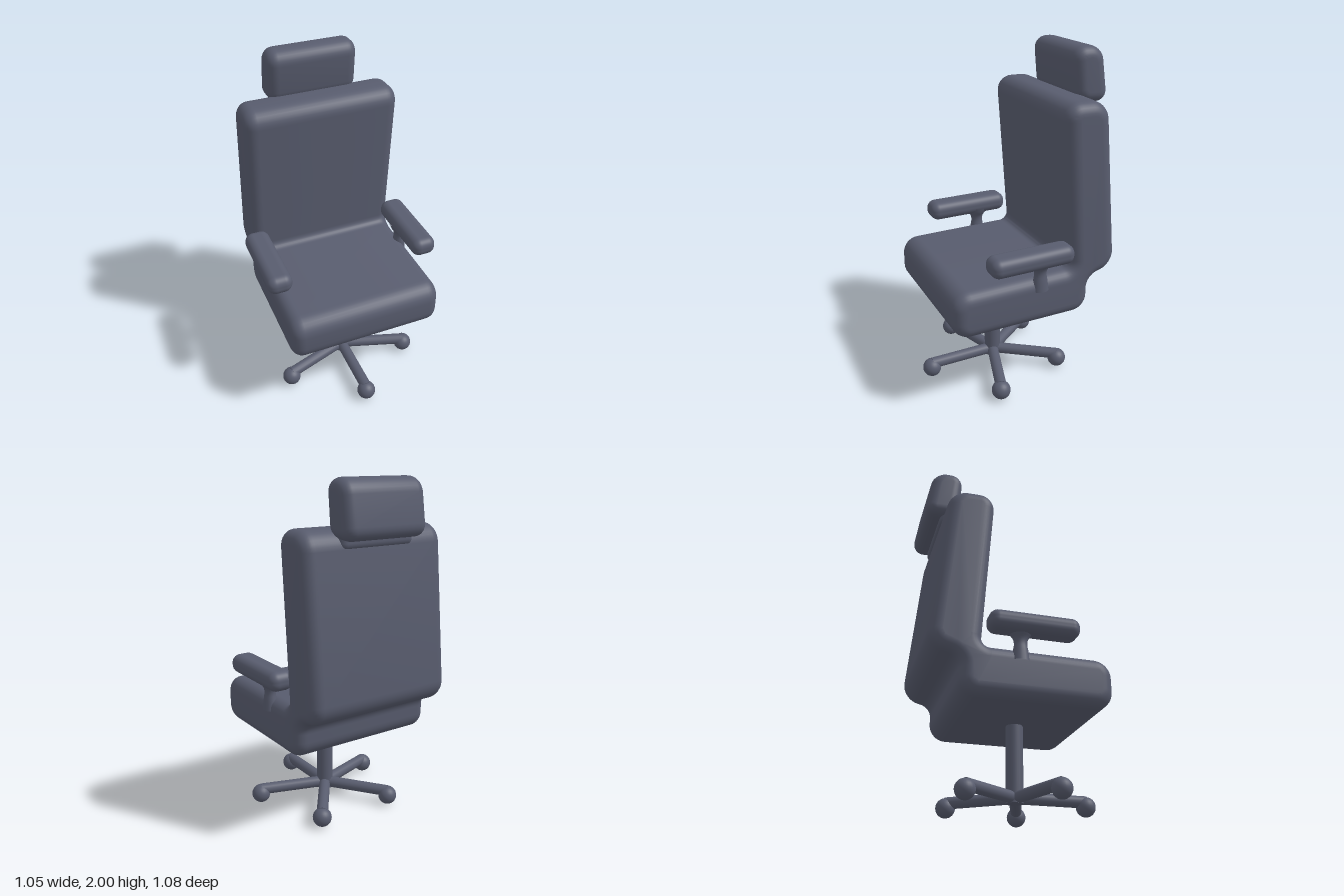
import * as THREE from 'three';
import { mergeVertices, toCreasedNormals } from 'three/addons/utils/BufferGeometryUtils.js';
import { RoundedBoxGeometry } from 'three/addons/geometries/RoundedBoxGeometry.js';

const slate = new THREE.MeshStandardMaterial({ color: 0x585c6e });
slate.name = 'slate grey';

function part(name, geometry, parent) {
  const mesh = new THREE.Mesh(geometry, slate);
  mesh.name = name;
  parent.add(mesh);
  return mesh;
}

// Side outline from corners [z, y, rounding]
function roundedOutline(corners) {
  const shape = new THREE.Shape();
  const n = corners.length;
  const k = 0.55;
  corners.forEach(([x, y, r], i) => {
    const c = new THREE.Vector2(x, y);
    const toward = ([px, py]) => new THREE.Vector2(px, py).sub(c).normalize();
    const a = toward(corners[(i + n - 1) % n]);
    const b = toward(corners[(i + 1) % n]);
    const at = (dir, d) => c.clone().addScaledVector(dir, d);
    const p0 = at(a, r), p1 = at(a, r * (1 - k)), p2 = at(b, r * (1 - k)), p3 = at(b, r);
    if (i === 0) shape.moveTo(p0.x, p0.y);
    else shape.lineTo(p0.x, p0.y);
    shape.bezierCurveTo(p1.x, p1.y, p2.x, p2.y, p3.x, p3.y);
  });
  shape.closePath();
  return shape;
}

// Padded cushion: outline extruded across the width with soft edges
function cushion(corners, width, bevel) {
  const depth = width - 2 * bevel;
  let geometry = new THREE.ExtrudeGeometry(roundedOutline(corners), {
    depth, curveSegments: 8, steps: 1,
    bevelEnabled: true, bevelThickness: bevel, bevelSize: bevel, bevelOffset: -bevel, bevelSegments: 7,
  });
  geometry.translate(0, 0, -depth / 2);
  geometry.rotateY(-Math.PI / 2);
  geometry.deleteAttribute('uv');
  geometry.deleteAttribute('normal');
  geometry = mergeVertices(geometry, 1e-4);
  return toCreasedNormals(geometry, 0.8);
}

export function createModel() {
  const chair = new THREE.Group();
  chair.name = 'officeChair';

  // Seat and backrest in one upholstered piece
  part('seatAndBackrest', cushion([
    [0.50, 0.49, 0.1],
    [0.50, 0.77, 0.1],
    [-0.235, 0.775, 0.05],
    [-0.16, 1.745, 0.1],
    [-0.43, 1.74, 0.1],
    [-0.53, 0.745, 0.1],
    [-0.35, 0.70, 0.06],
    [-0.35, 0.49, 0.1],
  ], 0.92, 0.07), chair);

  // Headrest and the neck joining it to the backrest
  part('headrest', cushion([
    [-0.345, 1.69, 0.07],
    [-0.315, 2.0, 0.08],
    [-0.50, 2.0, 0.08],
    [-0.55, 1.68, 0.08],
  ], 0.53, 0.06), chair);
  const neck = part('headrestNeck', new RoundedBoxGeometry(0.48, 0.16, 0.1, 4, 0.04), chair);
  neck.position.set(0, 1.71, -0.40);

  // Armrests on flared posts
  const postProfile = [[0.05, 0.70], [0.042, 0.76], [0.036, 0.80], [0.042, 0.83], [0.062, 0.86], [0.075, 0.89]]
    .map(([r, y]) => new THREE.Vector2(r, y));
  const postCurve = new THREE.SplineCurve(postProfile).getPoints(16);
  for (const side of [1, -1]) {
    const arm = new THREE.Group();
    arm.name = side > 0 ? 'leftArmrest' : 'rightArmrest';
    chair.add(arm);
    const pad = part('armPad', new RoundedBoxGeometry(0.148, 0.113, 0.51, 6, 0.05), arm);
    pad.position.set(side * 0.452, 0.909, 0.045);
    const post = part('armPost', new THREE.LatheGeometry(postCurve, 20), arm);
    post.scale.x = 0.85;
    post.position.set(side * 0.438, 0, -0.025);
  }

  // Column and five-legged base
  const base = new THREE.Group();
  base.name = 'base';
  base.position.z = 0.07;
  chair.add(base);
  part('column', new THREE.CylinderGeometry(0.049, 0.049, 0.46, 24), base).position.y = 0.28;
  const reach = 0.415;
  for (let i = 0; i < 5; i++) {
    const spoke = new THREE.Group();
    spoke.name = 'spoke' + (i + 1);
    spoke.rotation.y = (i * Math.PI * 2) / 5;
    base.add(spoke);
    const leg = part('leg', new THREE.CylinderGeometry(0.034, 0.034, reach, 16), spoke);
    leg.rotation.x = Math.PI / 2;
    leg.position.set(0, 0.083, reach / 2);
    part('caster', new THREE.SphereGeometry(0.056, 24, 16), spoke).position.set(0, 0.056, reach);
  }
  return chair;
}
